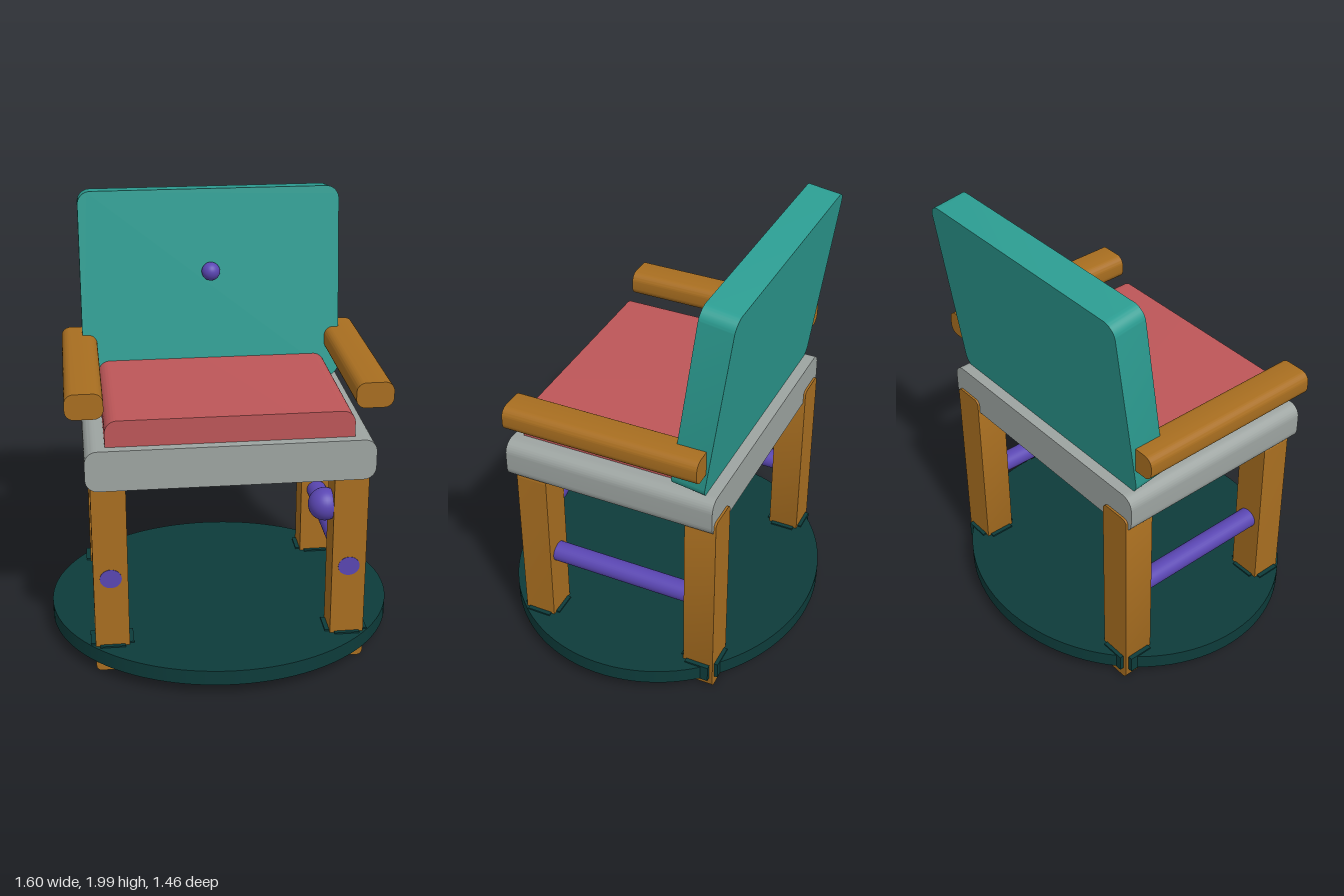
import * as THREE from 'three';
import { toCreasedNormals } from 'three/addons/utils/BufferGeometryUtils.js';

const material = (name, color) => {
  const m = new THREE.MeshStandardMaterial({ color });
  m.name = name;
  return m;
};

// Bar with a rounded cross-section in x-y, extruded along z and centred
function roundedBar(w, h, d, r) {
  const x = w / 2, y = h / 2;
  const s = new THREE.Shape();
  s.moveTo(-x + r, -y);
  s.lineTo(x - r, -y);
  s.absarc(x - r, -y + r, r, -Math.PI / 2, 0);
  s.lineTo(x, y - r);
  s.absarc(x - r, y - r, r, 0, Math.PI / 2);
  s.lineTo(-x + r, y);
  s.absarc(-x + r, y - r, r, Math.PI / 2, Math.PI);
  s.lineTo(-x, -y + r);
  s.absarc(-x + r, -y + r, r, Math.PI, Math.PI * 1.5);
  const g = new THREE.ExtrudeGeometry(s, { depth: d, bevelEnabled: false, curveSegments: 8 });
  g.translate(0, 0, -d / 2);
  return toCreasedNormals(g, 0.6);
}

export function createModel() {
  const teal = material('teal', 0x2c9d92);
  const red = material('red', 0xbd5658);
  const wood = material('wood', 0xa86e20);
  const grey = material('grey', 0x9da4a1);
  const purple = material('purple', 0x5a46b2);
  const darkTeal = material('dark teal', 0x0d3b3a);

  const model = new THREE.Group();
  const add = (name, geometry, mat, x, y, z) => {
    const mesh = new THREE.Mesh(geometry, mat);
    mesh.name = name;
    mesh.position.set(x, y, z);
    model.add(mesh);
    return mesh;
  };

  // Oval base plate
  const plate = add('basePlate', new THREE.CylinderGeometry(0.8, 0.8, 0.07, 96), darkTeal, 0, 0.095, 0);
  plate.scale.z = 0.91;

  // Seat frame, cushion and tilted backrest
  add('seatFrame', roundedBar(1.26, 0.185, 0.985, 0.055), grey, 0, 1.003, 0.002);
  add('cushion', roundedBar(1.08, 0.175, 0.78, 0.055), red, 0, 1.1275, 0.06);
  const back = add('backrest', roundedBar(1.215, 0.905, 0.153, 0.06), teal, 0, 1.541, -0.424);
  back.rotation.x = -0.138;
  add('backKnob', new THREE.SphereGeometry(0.043, 32, 20), purple, 0, 1.625, -0.342);

  // Legs, collars, armrests and side rails
  for (const side of [1, -1]) {
    const sideName = side > 0 ? 'left' : 'right';
    const x = side * 0.533;
    for (const front of [true, false]) {
      const name = sideName + (front ? 'Front' : 'Back');
      const z = front ? 0.387 : -0.428;
      const h = front ? 0.93 : 0.97;
      add(name + 'Leg', roundedBar(0.153, h, 0.145, 0.025), wood, x, 0.005 + h / 2, z);
      // Cross-shaped collar, leg corners stay exposed
      add(name + 'CollarWide', new THREE.BoxGeometry(0.194, 0.08, 0.114), darkTeal, x, 0.097, z);
      add(name + 'CollarDeep', new THREE.BoxGeometry(0.114, 0.08, 0.18), darkTeal, x, 0.097, z);
    }
    add(sideName + 'Armrest', roundedBar(0.165, 0.115, 0.9, 0.042), wood, side * 0.622, 1.283, 0);
    const rail = add(sideName + 'Rail', new THREE.CylinderGeometry(0.045, 0.045, 0.862, 32), purple, x, 0.47, 0.031);
    rail.rotation.x = Math.PI / 2;
    rail.scale.x = 1.08;
  }

  // Round knob on the inside of one front leg
  add('legKnob', new THREE.SphereGeometry(0.074, 32, 20), purple, 0.427, 0.75, 0.387);

  return model;
}
